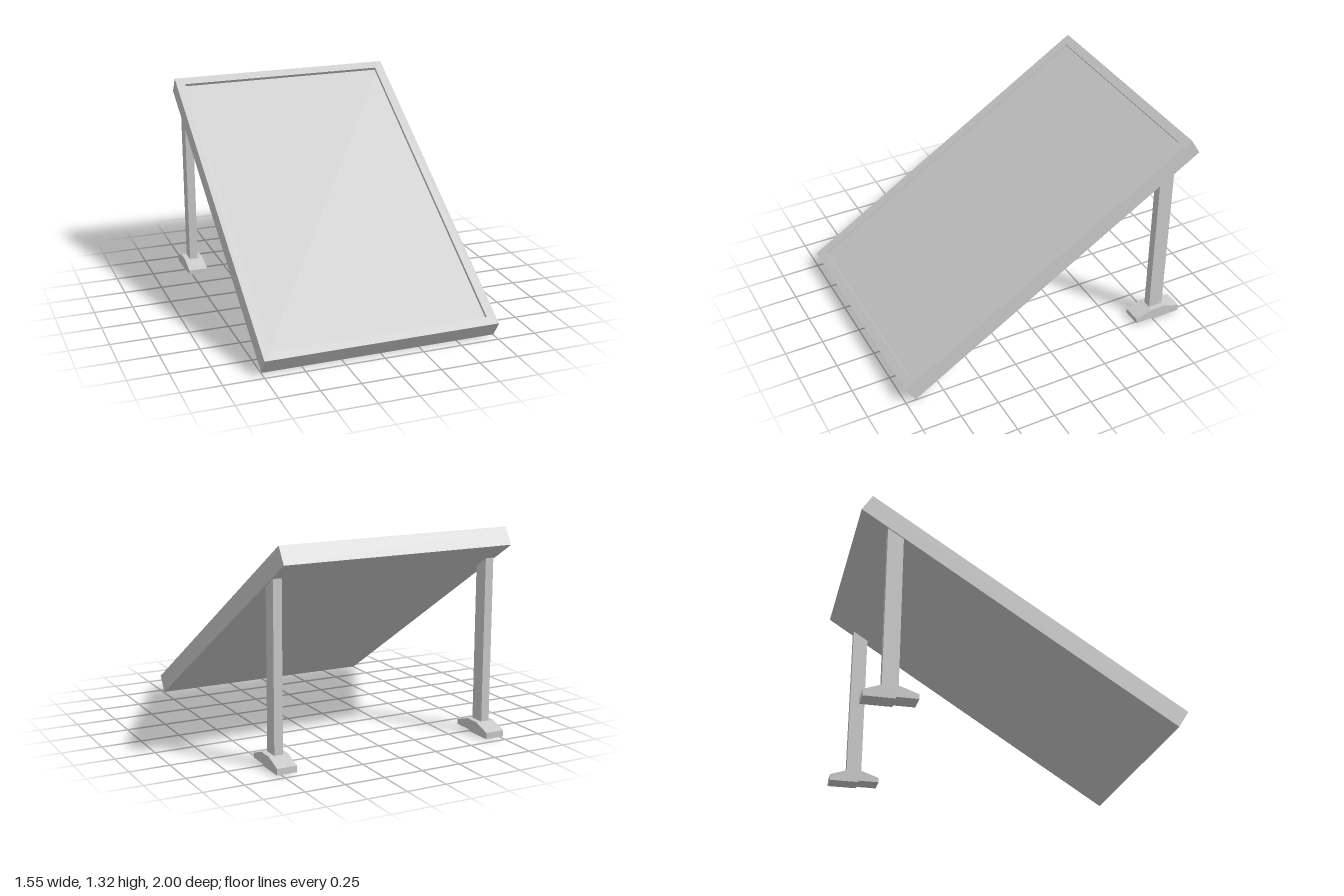
import * as THREE from 'three';

const material = new THREE.MeshStandardMaterial({ color: 0xcccccc, flatShading: true });
const TILT = THREE.MathUtils.degToRad(32);
const WIDTH = 1.5, LENGTH = 2.282, DEPTH = 0.12, CENTRE_Y = 0.66;
const RIM = 0.06, RECESS = 0.02;

function addMesh(parent, name, geometry) {
  const mesh = new THREE.Mesh(geometry, material);
  mesh.name = name;
  parent.add(mesh);
  return mesh;
}

// Extrudes a side profile of [z, y] points across x, centred on x = 0
function extrudeProfile(points, width) {
  const shape = new THREE.Shape(points.map(([z, y]) => new THREE.Vector2(z, y)));
  const geometry = new THREE.ExtrudeGeometry(shape, { depth: width, bevelEnabled: false });
  return geometry.translate(0, 0, -width / 2).rotateY(-Math.PI / 2);
}

function rectangle(PathType, w, h) {
  return new PathType([[-1, -1], [1, -1], [1, 1], [-1, 1]]
    .map(([x, y]) => new THREE.Vector2(x * w / 2, y * h / 2)));
}

// Height of the sloping underside at a given z
const undersideY = z => CENTRE_Y - DEPTH / 2 / Math.cos(TILT) - z * Math.tan(TILT);

function createPanel() {
  const panel = new THREE.Group();
  panel.name = 'tiltedPanel';

  // Solid body whose upper face is the floor of the recess
  const body = new THREE.BoxGeometry(WIDTH, LENGTH, DEPTH - RECESS);
  addMesh(panel, 'panelBody', body.translate(0, 0, -RECESS / 2));

  // Raised rim around the recess
  const rim = rectangle(THREE.Shape, WIDTH, LENGTH);
  rim.holes.push(rectangle(THREE.Path, WIDTH - 2 * RIM, LENGTH - 2 * RIM));
  const rimGeometry = new THREE.ExtrudeGeometry(rim, { depth: RECESS, bevelEnabled: false });
  addMesh(panel, 'panelRim', rimGeometry.translate(0, 0, DEPTH / 2 - RECESS));

  panel.position.y = CENTRE_Y;
  panel.rotation.x = TILT - Math.PI / 2;
  return panel;
}

function createSupport(name, x) {
  const support = new THREE.Group();
  support.name = name;

  // Post, cut at the top to follow the underside of the panel
  const front = -0.738, back = -0.835;
  addMesh(support, 'post', extrudeProfile([
    [back, 0.07], [front, 0.07], [front, undersideY(front)], [back, undersideY(back)],
  ], 0.055));

  // Foot with sloping shoulders and a small step under its front half
  addMesh(support, 'foot', extrudeProfile([
    [-0.945, 0], [-0.757, 0], [-0.757, 0.01], [-0.625, 0.01],
    [-0.625, 0.04], [-0.735, 0.078], [-0.835, 0.078], [-0.945, 0.04],
  ], 0.125));

  support.position.x = x;
  return support;
}

export function createModel() {
  const model = new THREE.Group();
  model.name = 'tiltedPanelOnSupports';
  model.add(createPanel());
  model.add(createSupport('leftSupport', 0.712), createSupport('rightSupport', -0.712));
  return model;
}
